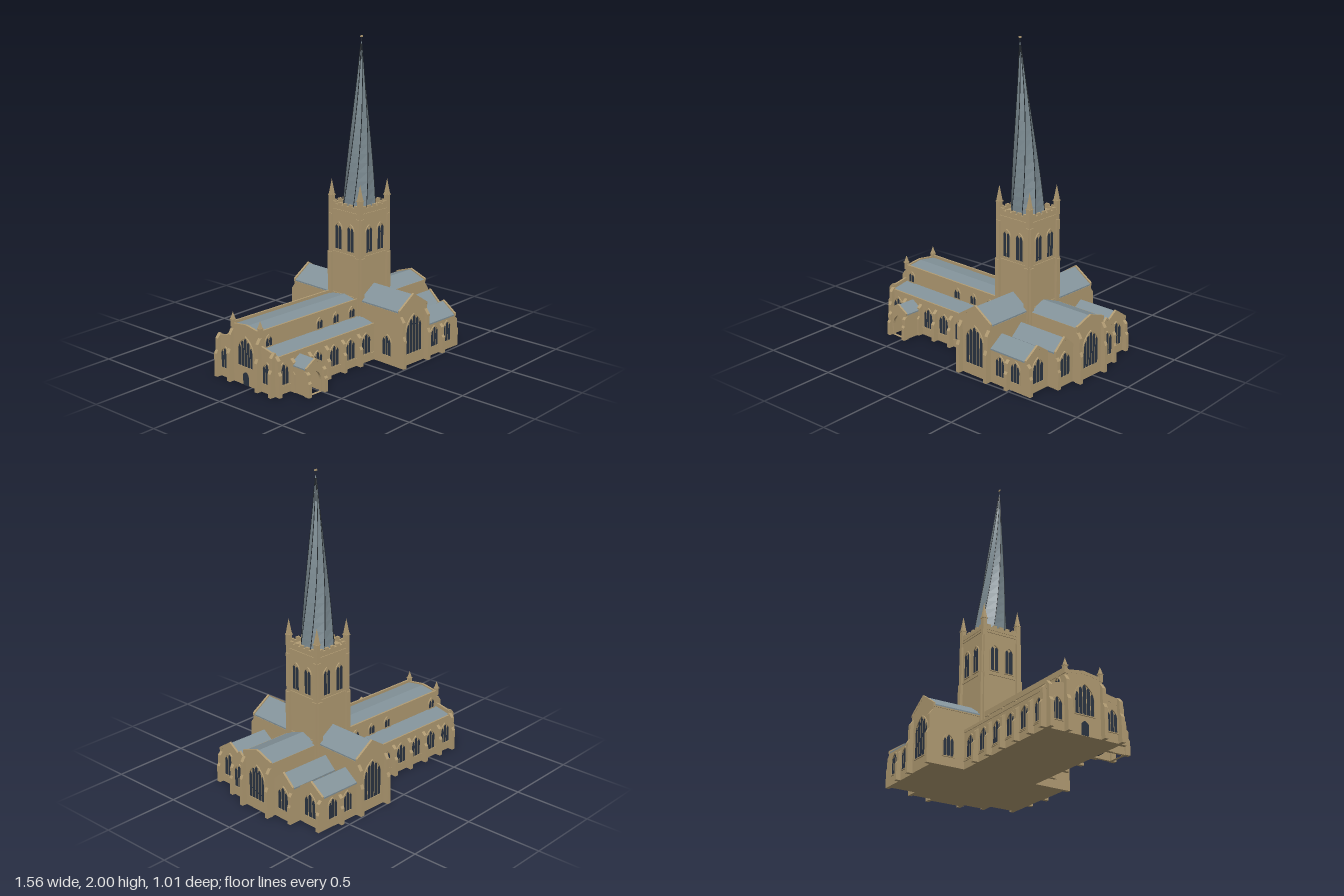
import * as THREE from 'three';

const mat = (name, color) => Object.assign(new THREE.MeshStandardMaterial({ color }), { name });

export function createModel() {
  const stone = mat('stone', 0xb29c73);
  const slate = mat('slate roof', 0x83939a);
  const lead = mat('spire lead', 0x7c8b92);
  const glass = mat('dark glass', 0x2a3442);
  const rib = mat('dark rib', 0x22282d);
  glass.side = THREE.DoubleSide;

  const model = new THREE.Group();
  model.name = 'church';
  // The church axis is turned slightly; the origin of the body is the tower centre
  const body = new THREE.Group();
  body.name = 'churchBody';
  body.position.x = 0.235;
  body.rotation.y = -0.054;
  model.add(body);

  const SOUTH = 0, EAST = Math.PI / 2, NORTH = Math.PI, WEST = -Math.PI / 2;
  const add = (name, geo, m, x = 0, y = 0, z = 0, ry = 0) => {
    const mesh = new THREE.Mesh(geo, m);
    mesh.name = name;
    mesh.position.set(x, y, z);
    mesh.rotation.y = ry;
    body.add(mesh);
    return mesh;
  };
  // Box given by its ranges
  const box = (name, m, x0, x1, y0, y1, z0, z1) => add(name,
    new THREE.BoxGeometry(Math.abs(x1 - x0), y1 - y0, Math.abs(z1 - z0)), m,
    (x0 + x1) / 2, (y0 + y1) / 2, (z0 + z1) / 2);
  const poly = pts => new THREE.Shape(pts.map(p => new THREE.Vector2(...p)));
  const extrude = (shape, depth) =>
    new THREE.ExtrudeGeometry(shape, { depth, bevelEnabled: false, curveSegments: 6 });

  // Pointed arch outline
  const arch = (cx, w, y0, s, h, Kind = THREE.Shape) => {
    const a = new Kind(), r = w / 2, c = s + (h - s) * 0.65;
    a.moveTo(cx - r, y0).lineTo(cx + r, y0).lineTo(cx + r, s);
    a.quadraticCurveTo(cx + r, c, cx, h).quadraticCurveTo(cx - r, c, cx - r, s);
    return a;
  };
  // Window of several lancet lights stepped beneath a pointed hood
  const traceryWindow = (x, z, ry, w, y0, y1, lights) => {
    const s = y1 - w * 0.75, step = w / lights, lw = step * 0.84;
    const archY = d => {
      const t = Math.sqrt(Math.max(0, 1 - d / (w / 2)));
      return s + (y1 - s) * (1.3 * t * (1 - t) + t * t);
    };
    const shapes = [];
    for (let i = 0; i < lights; i++) {
      const cx = (i - (lights - 1) / 2) * step;
      const top = archY(Math.abs(cx)) - 0.003;
      shapes.push(arch(cx, lw, y0, top - lw * 0.9, top));
    }
    const pane = new THREE.ShapeGeometry(shapes, 6);
    pane.translate(0, 0, 0.004);
    add('windowLights', pane, glass, x, 0, z, ry);
    const hood = arch(0, w + 0.012, y0 - 0.006, s, y1 + 0.009);
    hood.holes.push(arch(0, w, y0, s, y1, THREE.Path));
    add('windowFrame', extrude(hood, 0.007), stone, x, 0, z, ry);
  };
  // Stepped buttress growing outward from a wall
  const buttress = (x, z, ry, h, d = 0.036) => {
    const g = extrude(poly([[-0.01, 0], [d, 0], [d, h * 0.55], [d * 0.65, h * 0.63],
      [d * 0.65, h * 0.9], [0, h], [-0.01, h]]), 0.024);
    g.translate(0, 0, -0.012).rotateY(-Math.PI / 2);
    add('buttress', g, stone, x, 0, z, ry);
  };
  // Gabled block, extruded toward ry, with a chevron roof and gable copings
  const gabled = (name, x, z, ry, w, eave, peak, len, copings) => {
    const r = w / 2;
    const chevron = (lo, hi, o) => poly([[-r - o, eave + lo], [0, peak + lo], [r + o, eave + lo],
      [r + o, eave + hi], [0, peak + hi], [-r - o, eave + hi]]);
    add(name + 'Walls', extrude(poly([[-r, 0], [r, 0], [r, eave], [0, peak], [-r, eave]]), len),
      stone, x, 0, z, ry);
    add(name + 'Roof', extrude(chevron(-0.002, 0.007, 0.002), len - 0.001), slate, x, 0, z, ry);
    for (const d of copings) {
      const g = extrude(chevron(-0.004, 0.015, 0.004), 0.014);
      g.translate(0, 0, d);
      add(name + 'Coping', g, stone, x, 0, z, ry);
    }
  };
  const pinnacle = (x, z, y0, y1, y2, w) => {
    box('pinnacleShaft', stone, x - w / 2, x + w / 2, y0, y1, z - w / 2, z + w / 2);
    box('pinnacleCap', stone, x - w * 0.62, x + w * 0.62, y1 - 0.006, y1, z - w * 0.62, z + w * 0.62);
    const g = new THREE.ConeGeometry(w * 0.7, y2 - y1, 4).toNonIndexed();
    g.rotateY(Math.PI / 4).computeVertexNormals();
    add('pinnacleTip', g, stone, x, (y1 + y2) / 2, z);
  };

  // Nave, transepts and chancel
  gabled('nave', 0, 0, WEST, 0.25, 0.348, 0.366, 0.965, [0.952]);
  gabled('transept', 0, -0.465, SOUTH, 0.25, 0.355, 0.44, 0.93, [-0.001, 0.917]);
  gabled('chancel', 0, 0, EAST, 0.24, 0.343, 0.386, 0.505, [0.492]);
  traceryWindow(-0.965, 0, WEST, 0.13, 0.12, 0.3, 5);
  traceryWindow(0.505, 0, EAST, 0.135, 0.075, 0.295, 5);
  traceryWindow(0, 0.465, SOUTH, 0.14, 0.075, 0.32, 5);
  traceryWindow(0, -0.465, NORTH, 0.14, 0.075, 0.32, 5);
  const westDoor = new THREE.ShapeGeometry(arch(0, 0.05, 0, 0.06, 0.085), 6);
  add('westDoor', westDoor, glass, -0.969, 0, 0, WEST);

  const bays = [-0.2, -0.34, -0.48, -0.62, -0.76, -0.9];
  for (const s of [1, -1]) {
    const face = s > 0 ? SOUTH : NORTH;
    // Nave and chancel parapets
    box('naveParapet', stone, -0.965, -0.125, 0.34, 0.374, s * 0.117, s * 0.129);
    box('chancelParapet', stone, 0.125, 0.505, 0.335, 0.35, s * 0.116, s * 0.124);
    box('transeptEaves', stone, -0.129, 0.129, 0.345, 0.353, s * 0.13, s * 0.462);
    pinnacle(-0.958, s * 0.12, 0.34, 0.39, 0.435, 0.022);

    // Side aisle with lean-to roof
    const aisle = extrude(poly([[0.12, 0], [0.25, 0], [0.25, 0.23], [0.12, 0.255]].map(p => [s * p[0], p[1]])), 0.845);
    add('aisleWalls', aisle, stone, -0.12, 0, 0, WEST).scale.x = 1;
    const lean = (lo, hi) => poly([[0.12, 0.255 + lo], [0.25, 0.23 + lo], [0.25, 0.23 + hi], [0.12, 0.255 + hi]]
      .map(p => [s * p[0], p[1]]));
    add('aisleRoof', extrude(lean(-0.002, 0.006), 0.842), slate, -0.12, 0, 0, WEST);
    add('aisleCoping', extrude(lean(-0.01, 0.03), 0.014), stone, -0.952, 0, 0, WEST);
    box('aisleParapet', stone, -0.965, -0.125, 0.222, 0.241, s * 0.244, s * 0.254);
    box('aisleSill', stone, -0.965, -0.125, 0.046, 0.052, s * 0.245, s * 0.255);
    bays.forEach((x, i) => {
      const porchBay = s > 0 && i === 4;
      if (!porchBay) traceryWindow(x, s * 0.25, face, 0.078, 0.06, 0.19, 3);
      if (i < 3 || i === 5) traceryWindow(x, s * 0.127, face, 0.05, 0.268, 0.332, 2);
      if (i < 5) buttress(x - 0.07, s * 0.25, face, 0.205);
    });
    buttress(-0.952, s * 0.25, face, 0.25);
    buttress(-0.965, s * 0.238, WEST, 0.27);
    buttress(-0.965, s * 0.122, WEST, 0.33);
    traceryWindow(-0.965, s * 0.185, WEST, 0.07, 0.06, 0.19, 3);

    // Transept end buttresses and west window
    for (const x of [-0.113, 0.113]) buttress(x, s * 0.465, face, 0.33);
    traceryWindow(-0.125, s * 0.36, WEST, 0.07, 0.06, 0.19, 3);

    // East chapels flanking the chancel
    gabled('innerChapel', 0.1, s * 0.195, EAST, 0.155, 0.225, 0.297, 0.373, [0.36]);
    gabled('outerChapel', 0.1, s * 0.364, EAST, 0.19, 0.21, 0.277, 0.31, [0.297]);
    traceryWindow(0.473, s * 0.198, EAST, 0.088, 0.065, 0.215, 3);
    traceryWindow(0.41, s * 0.364, EAST, 0.092, 0.06, 0.21, 3);
    for (const x of [0.203, 0.325]) traceryWindow(x, s * 0.459, face, 0.068, 0.06, 0.188, 3);
    buttress(0.266, s * 0.459, face, 0.19, 0.03);
    buttress(0.41, s * 0.447, EAST, 0.2, 0.03);
    buttress(0.473, s * 0.262, EAST, 0.2, 0.02);
    buttress(0.505, s * 0.113, EAST, 0.32, 0.034);
  }

  // South porch with open arch, door on the aisle wall behind
  const front = poly([[-0.072, 0], [0.072, 0], [0.072, 0.165], [0, 0.212], [-0.072, 0.165]]);
  front.holes.push(arch(0, 0.088, 0.0005, 0.08, 0.145, THREE.Path));
  add('porchFront', extrude(front, 0.018), stone, -0.765, 0, 0.364);
  for (const s of [-1, 1]) {
    box('porchSide', stone, -0.765 + s * 0.056, -0.765 + s * 0.072, 0, 0.168, 0.25, 0.365);
    buttress(-0.765 + s * 0.066, 0.38, SOUTH, 0.155, 0.026);
  }
  const porchRoof = (h, o) => poly([[-0.076, 0.163], [0, 0.21], [0.076, 0.163], [0.076 + o, 0.163 + h], [0, 0.21 + h], [-0.076 - o, 0.163 + h]]);
  add('porchRoof', extrude(porchRoof(0.008, 0), 0.128), slate, -0.765, 0, 0.25);
  add('porchCoping', extrude(porchRoof(0.014, 0.002), 0.012), stone, -0.765, 0, 0.372);
  box('porchDoor', glass, -0.79, -0.74, 0, 0.092, 0.25, 0.256);

  // Central tower
  const T = 0.13;
  box('towerWalls', stone, -T, T, 0, 0.93, -T, T);
  for (const y of [0.36, 0.63, 0.905]) box('stringCourse', stone, -T - 0.005, T + 0.005, y, y + 0.009, -T - 0.005, T + 0.005);
  for (let k = 0; k < 4; k++) {
    const a = k * Math.PI / 2, c = Math.round(Math.cos(a)), s = Math.round(Math.sin(a));
    const at = (u, v) => [u * c + v * s, v * c - u * s];
    for (const u of [-0.052, 0.052]) traceryWindow(...at(u, T), a, 0.056, 0.66, 0.828, 2);
    for (const u of [-0.118, 0.118]) {
      const [x, z] = at(u, T);
      add('towerButtressLower', new THREE.BoxGeometry(0.03, 0.63, 0.036), stone, x, 0.315, z, a);
      add('towerButtressUpper', new THREE.BoxGeometry(0.026, 0.25, 0.024), stone, x, 0.755, z, a);
    }
    // Battlements
    const [px, pz] = at(0, T - 0.004);
    add('parapet', new THREE.BoxGeometry(0.268, 0.022, 0.014), stone, px, 0.935, pz, a);
    for (let i = -2; i <= 2; i++) {
      const [x, z] = at(i * 0.046, T - 0.004);
      add('merlon', new THREE.BoxGeometry(0.026, 0.016, 0.014), stone, x, 0.952, z, a);
    }
    pinnacle(...at(0.122, 0.122), 0.88, 1.0, 1.1, 0.028);
  }

  // Twisted, leaning octagonal spire
  const Y0 = 0.928, Y1 = 1.965, LEVELS = 18, TWIST = 0.95;
  const ridge = (j, t) => {
    const r = 0.106 * (1 - t) + 0.002, a = (j + 0.5) * Math.PI / 4 - TWIST * t;
    return [-0.034 * t + r * Math.cos(a), Y0 + (Y1 - Y0) * t, 0.042 * t + r * Math.sin(a)];
  };
  const pos = [];
  for (let i = 0; i < LEVELS; i++) {
    for (let j = 0; j < 8; j++) {
      const t0 = i / LEVELS, t1 = (i + 1) / LEVELS;
      const a = ridge(j, t0), b = ridge(j + 1, t0), c = ridge(j, t1), d = ridge(j + 1, t1);
      pos.push(...a, ...c, ...b, ...b, ...c, ...d);
    }
  }
  const spire = new THREE.BufferGeometry();
  spire.setAttribute('position', new THREE.Float32BufferAttribute(pos, 3));
  spire.computeVertexNormals();
  add('spire', spire, lead);
  for (let j = 0; j < 8; j++) {
    const pts = [];
    for (let i = 0; i <= 8; i++) pts.push(new THREE.Vector3(...ridge(j, i / 8 * 0.985)));
    add('spireRib', new THREE.TubeGeometry(new THREE.CatmullRomCurve3(pts), 24, 0.0024, 5), rib);
  }
  // Finial with weather vane
  add('finialRod', new THREE.CylinderGeometry(0.002, 0.002, 0.05, 6), rib, -0.034, 1.973, 0.042);
  box('weatherVane', stone, -0.045, -0.023, 1.99, 2.0, 0.04, 0.044);

  return model;
}
